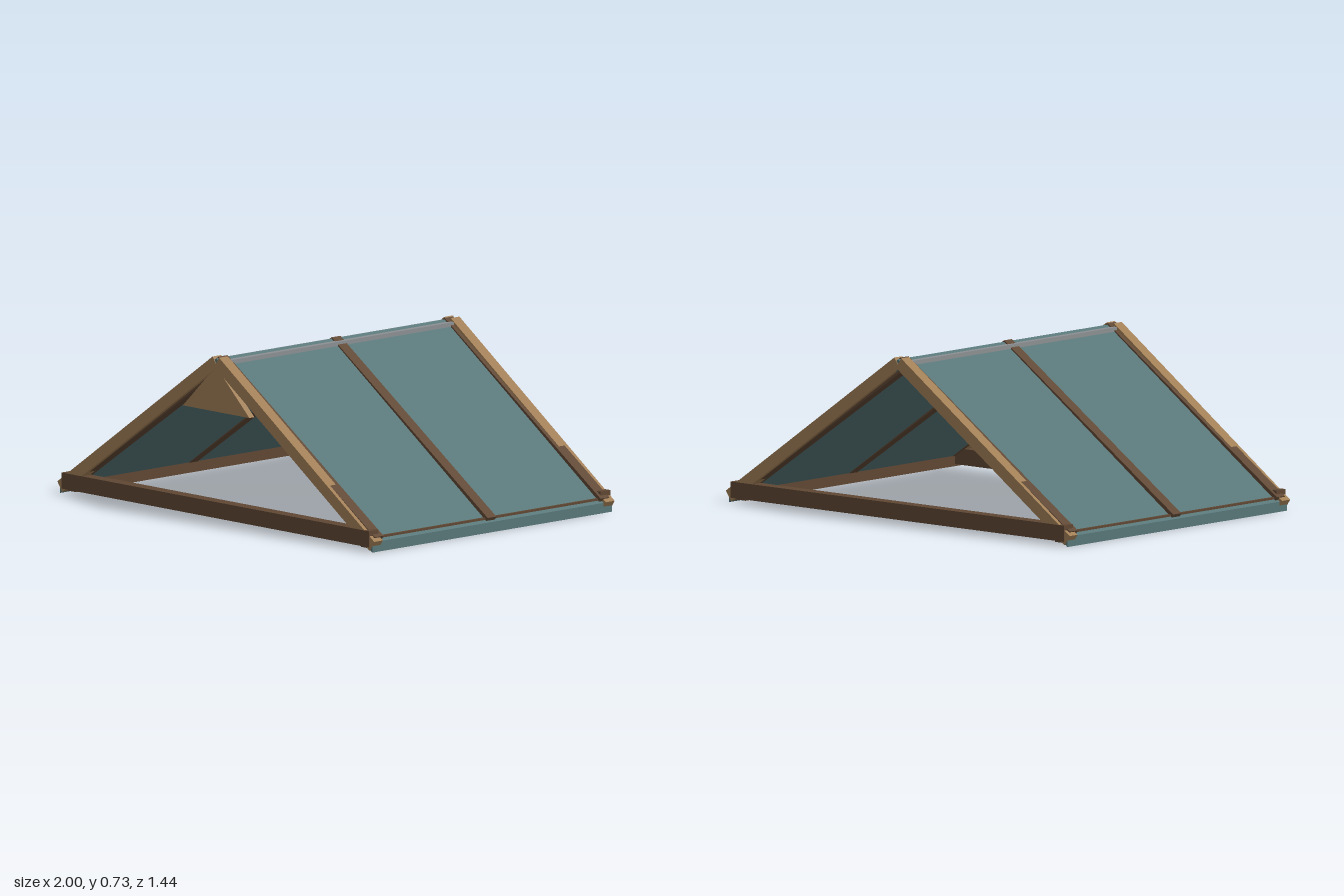
import * as THREE from 'three';

const mat = (color) => new THREE.MeshStandardMaterial({ color, flatShading: true });

export function createModel() {
  const group = new THREE.Group();
  const lightWood = mat(0xa07e55);
  const darkWood = mat(0x5f4733);
  const teal = mat(0x577678);
  const metal = mat(0x8b8f91);

  const add = (name, geometry, material) => {
    const mesh = new THREE.Mesh(geometry, material);
    mesh.name = name;
    group.add(mesh);
  };

  // Extrude an outline in the x-y plane between two depths, optionally mirrored in x
  const slab = (name, points, z0, z1, material, side = 1) => {
    const shape = new THREE.Shape(points.map(([x, y]) => new THREE.Vector2(x * side, y)));
    const geometry = new THREE.ExtrudeGeometry(shape, { depth: z1 - z0, bevelEnabled: false });
    add(name, geometry.translate(0, 0, z0), material);
  };

  const box = (name, x0, x1, y0, y1, z0, z1, material) => {
    const geometry = new THREE.BoxGeometry(x1 - x0, y1 - y0, z1 - z0);
    add(name, geometry.translate((x0 + x1) / 2, (y0 + y1) / 2, (z0 + z1) / 2), material);
  };

  const rakeOutline = [[0.02, 0.731], [1.0, 0.05], [0.97, 0.007], [-0.01, 0.687]];
  const rafterOutline = [[0.0, 0.731], [0.985, 0.066], [0.955, 0.02], [0.0, 0.665]];
  const roofTop = (x) => 0.725 - 0.69 * x;
  const strips = 4;
  const roofEdge = 0.985;

  for (const side of [-1, 1]) {
    // Roof covering: sloping strips with plumb-cut edges
    for (let i = 0; i < strips; i++) {
      const a = (roofEdge * i) / strips;
      const b = (roofEdge * (i + 1)) / strips;
      slab('roofPanel', [
        [a, roofTop(a)], [b, roofTop(b)], [b, roofTop(b) - 0.045], [a, roofTop(a) - 0.045],
      ], -0.714, 0.714, teal, side);
    }

    // Rafters showing above and below the covering
    for (const z of [-0.673, 0, 0.673]) {
      slab('rafter', rafterOutline, z - 0.026, z + 0.026, darkWood, side);
    }

    // Light boards along the gable edges
    for (const z of [-0.691, 0.691]) {
      slab('rakeBoard', rakeOutline, z - 0.026, z + 0.026, lightWood, side);
    }

    // Beam along the eave
    const x = side * 0.935;
    box('eaveBeam', x - 0.035, x + 0.035, 0.013, 0.065, -0.7, 0.7, darkWood);
  }

  // Horizontal ties across both gables
  for (const z of [-0.691, 0.691]) {
    box('tieBeam', -0.97, 0.97, 0.022, 0.093, z - 0.029, z + 0.029, darkWood);
  }

  // Ridge cap and triangular plate under the front peak
  box('ridgeCap', -0.04, 0.04, 0.685, 0.716, -0.7, 0.7, metal);
  slab('gablePlate', [[0, 0.69], [0.21, 0.49], [-0.21, 0.49]], 0.685, 0.715, lightWood);

  return group;
}
